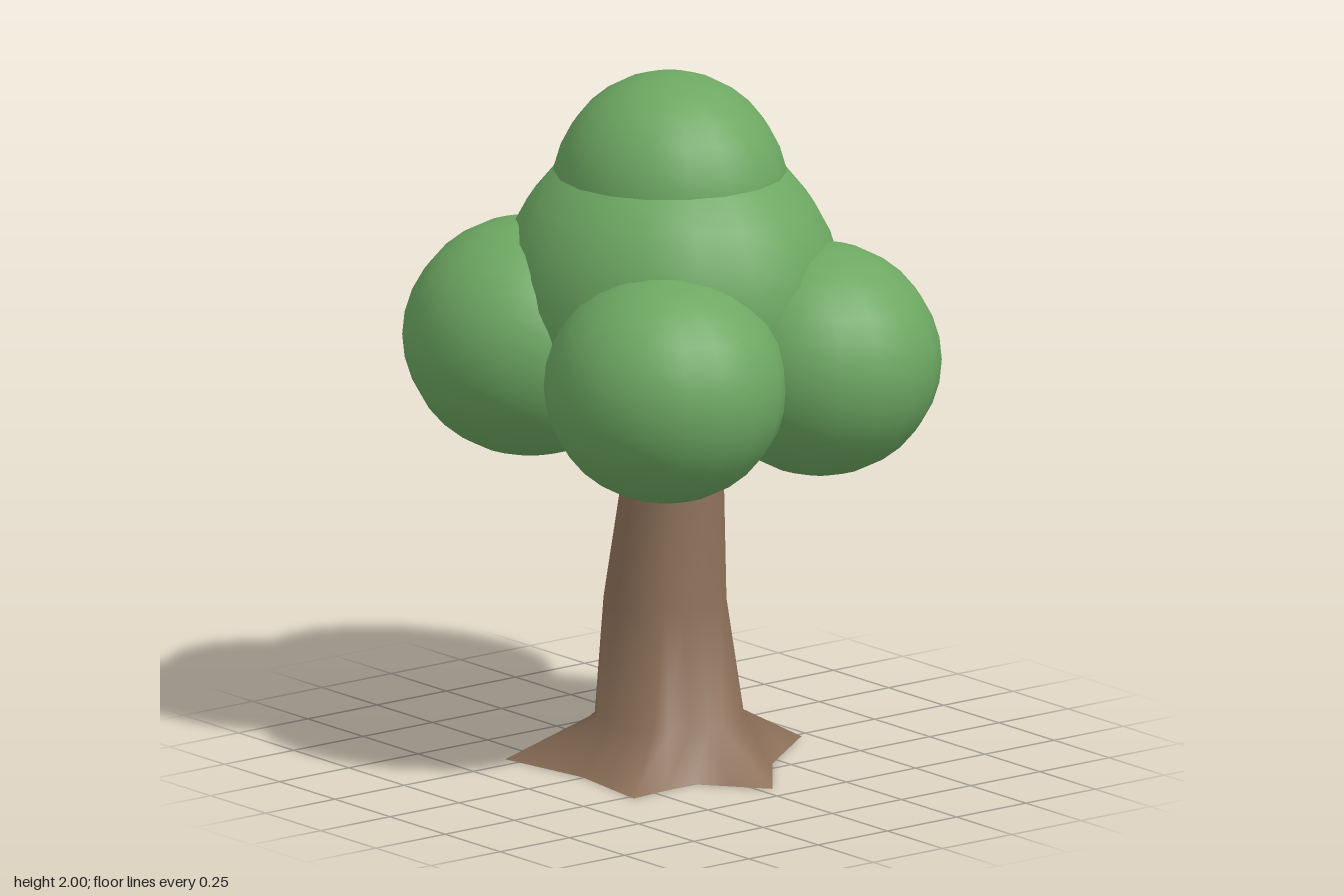
import * as THREE from 'three';

const leafGreen = new THREE.MeshStandardMaterial({ color: 0x6da862 });
leafGreen.name = 'leafGreen';
const barkBrown = new THREE.MeshStandardMaterial({ color: 0x8e715a });
barkBrown.name = 'barkBrown';

// Star outline of the roots on the ground: [x, z] of each tip, radius of the valley after it
const ROOTS = [
  [0.43, -0.04, 0.27],
  [0.27, 0.335, 0.3],
  [-0.30, 0.345, 0.29],
  [-0.44, -0.18, 0.31],
  [0.02, -0.47, 0.3],
];

// Four points for each root: tip, halfway, valley, halfway
function rootOutline() {
  const points = [];
  ROOTS.forEach(([x, z, valleyRadius], i) => {
    const next = ROOTS[(i + 1) % ROOTS.length];
    const tip = new THREE.Vector2(x, z);
    const nextTip = new THREE.Vector2(next[0], next[1]);
    const valley = tip.clone().normalize().add(nextTip.clone().normalize()).setLength(valleyRadius);
    points.push(tip, tip.clone().lerp(valley, 0.55), valley, valley.clone().lerp(nextTip, 0.45));
  });
  return points;
}

// Trunk skin: the root outline joined to round rings, smooth all over
function trunkGeometry(outline) {
  // y, centre x, centre z, radius
  const rings = [
    [0.13, -0.015, -0.022, 0.212],
    [0.47, -0.033, -0.02, 0.174],
    [0.83, -0.003, -0.025, 0.144],
    [1.2, 0.0, -0.03, 0.125],
  ];
  const n = outline.length;
  const positions = outline.flatMap((p) => [p.x, 0, p.y]);
  for (const [y, cx, cz, r] of rings) {
    for (const p of outline) {
      const a = Math.atan2(p.y, p.x);
      positions.push(cx + r * Math.cos(a), y, cz + r * Math.sin(a));
    }
  }
  const index = [];
  for (let k = 0; k < rings.length; k++) {
    for (let i = 0; i < n; i++) {
      const a = k * n + i;
      const b = k * n + ((i + 1) % n);
      index.push(a, a + n, b, b, a + n, b + n);
    }
  }
  return finish(positions, index);
}

// Flat underside of the roots
function undersideGeometry(outline) {
  const positions = [0, 0, 0, ...outline.flatMap((p) => [p.x, 0, p.y])];
  const index = [];
  const n = outline.length;
  for (let i = 0; i < n; i++) index.push(0, 1 + i, 1 + ((i + 1) % n));
  return finish(positions, index);
}

function finish(positions, index) {
  const geometry = new THREE.BufferGeometry();
  geometry.setAttribute('position', new THREE.Float32BufferAttribute(positions, 3));
  geometry.setIndex(index);
  geometry.computeVertexNormals();
  return geometry;
}

export function createModel() {
  const tree = new THREE.Group();
  tree.name = 'tree';

  const add = (name, geometry, material) => {
    const mesh = new THREE.Mesh(geometry, material);
    mesh.name = name;
    tree.add(mesh);
    return mesh;
  };

  // Trunk and roots
  const outline = rootOutline();
  add('trunk', trunkGeometry(outline), barkBrown);
  add('rootUnderside', undersideGeometry(outline), barkBrown);

  // Foliage clumps: name, centre, radii
  const clumps = [
    ['crownTop', [-0.02, 1.66, -0.028], [0.343, 0.34, 0.33]],
    ['crownMiddle', [-0.02, 1.36, -0.03], [0.503, 0.485, 0.478]],
    ['frontLeftClump', [0.29, 1.19, 0.235], [0.348, 0.33, 0.343]],
    ['frontRightClump', [-0.285, 1.23, 0.265], [0.36, 0.342, 0.365]],
    ['backLeftClump', [0.335, 1.2, -0.28], [0.36, 0.333, 0.342]],
    ['backRightClump', [-0.338, 1.195, -0.28], [0.357, 0.337, 0.355]],
  ];
  const ball = new THREE.SphereGeometry(1, 18, 16);
  ball.rotateY(Math.PI / 2);
  for (const [name, centre, radii] of clumps) {
    const clump = add(name, ball, leafGreen);
    clump.position.set(...centre);
    clump.scale.set(...radii);
  }
  return tree;
}
